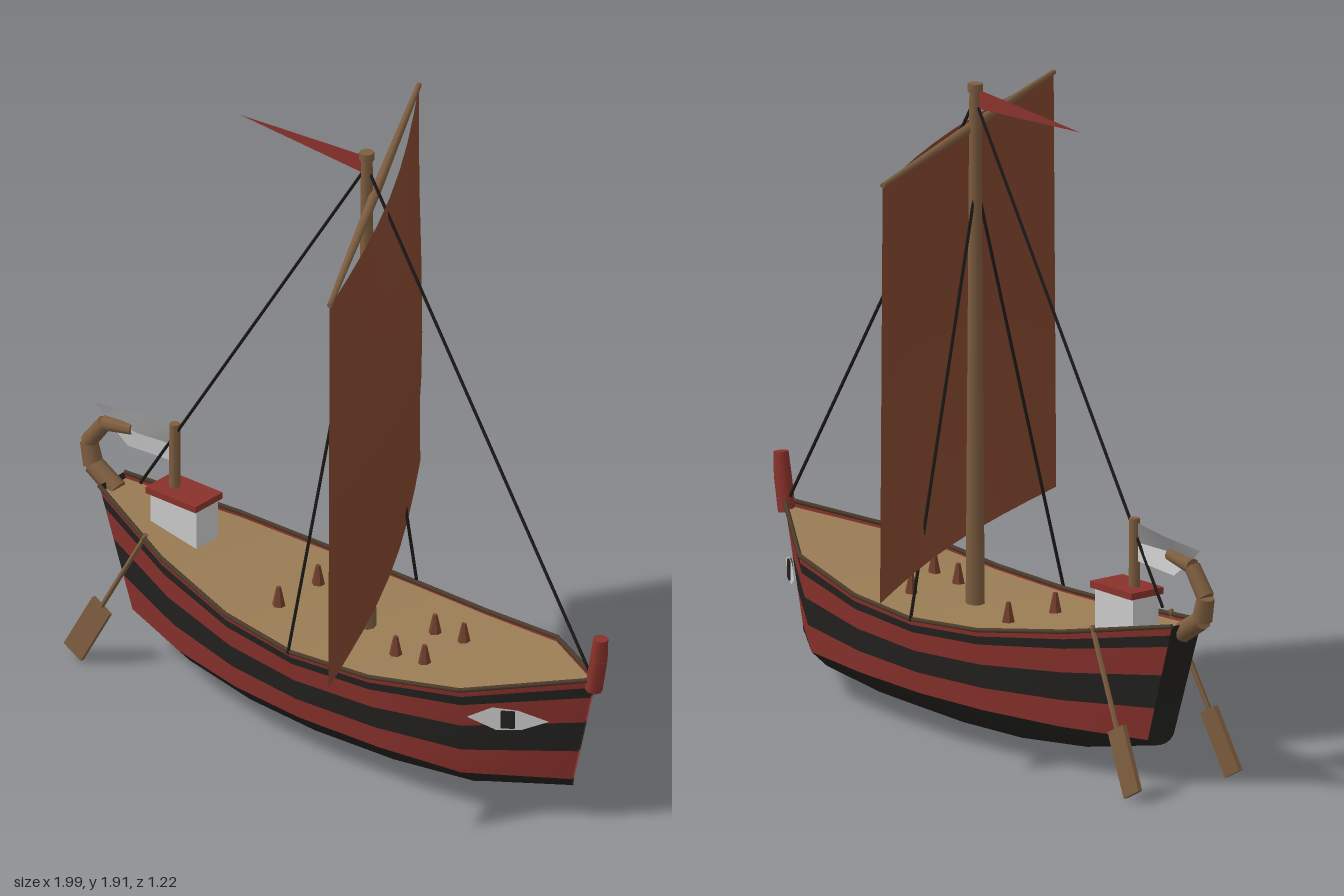
import * as THREE from 'three';

const RED = 0x8a322c, BLACK = 0x232220, WOOD = 0x7d5d3f, DECK = 0x9a7d55, ROPE = 0x1c1a18;
const SAIL = 0x84472f, WHITE = 0xcccccc, GREY = 0x8c8c8c, PEG = 0x74402c, RAIL = 0x4a3a2a;
const V = (x, y, z) => new THREE.Vector3(x, y, z);
const CZ = 0.01; // centre line of the boat

// Hull stations, stern to bow: x at rail, x at keel, half beam, rail height, chine height, keel height
const stations = [
  [-0.89, -0.77, 0.055, 0.505, 0.140, 0.118],
  [-0.55, -0.50, 0.180, 0.440, 0.143, 0.060],
  [-0.24, -0.23, 0.253, 0.393, 0.146, 0.033],
  [0.03, 0.03, 0.280, 0.375, 0.147, 0.027],
  [0.31, 0.32, 0.264, 0.386, 0.146, 0.033],
  [0.62, 0.60, 0.214, 0.430, 0.143, 0.060],
  [0.95, 0.865, 0.004, 0.495, 0.140, 0.118],
];

// Point on the hull: t = -1 keel, 0 chine, 1 rail
function hullPoint([xt, xb, w, top, chine, keel], t, side) {
  if (t < 0) {
    const k = 1 + t;
    return V(xb, keel + (chine - keel) * Math.pow(k, 2.6), CZ + side * w * 0.87 * k);
  }
  return V(xb + (xt - xb) * t, chine + (top - chine) * t, CZ + side * w * (0.87 + 0.13 * t));
}

// Surface through rows of points
function grid(rows) {
  const n = rows[0].length, index = [];
  for (let r = 0; r < rows.length - 1; r++)
    for (let i = 0; i < n - 1; i++) {
      const a = r * n + i, d = a + n;
      index.push(a, a + 1, d + 1, a, d + 1, d);
    }
  const g = new THREE.BufferGeometry().setFromPoints(rows.flat());
  g.setIndex(index);
  g.computeVertexNormals();
  return g;
}

export function createModel() {
  const model = new THREE.Group();

  function add(name, geometry, color, options = {}) {
    const mesh = new THREE.Mesh(geometry, new THREE.MeshStandardMaterial({ color, ...options }));
    mesh.name = name;
    model.add(mesh);
    return mesh;
  }
  const both = { side: THREE.DoubleSide };

  // Tapered round bar from a to b
  function bar(name, a, b, ra, rb, color, sides = 8) {
    const dir = b.clone().sub(a);
    const m = add(name, new THREE.CylinderGeometry(rb, ra, dir.length(), sides), color, { flatShading: sides < 8 });
    m.position.copy(a).lerp(b, 0.5);
    m.quaternion.setFromUnitVectors(V(0, 1, 0), dir.normalize());
    return m;
  }
  function chain(name, points, radii, color) {
    for (let i = 0; i < points.length - 1; i++)
      bar(name, points[i], points[i + 1], radii[i], radii[i + 1], color);
  }

  // Painted hull bands on both sides
  const bands = [
    ['hullBottom', [-1, -0.65, -0.3, 0], BLACK],
    ['lowerRedBand', [0, 0.28], RED],
    ['blackBand', [0.28, 0.57], BLACK],
    ['upperRedBand', [0.57, 0.82], RED],
    ['blackStripe', [0.82, 0.92], BLACK],
    ['topRedBand', [0.92, 1], RED],
  ];
  for (const [name, ts, color] of bands)
    for (const side of [1, -1]) {
      const rows = ts.map(t => stations.map(s => hullPoint(s, t, side)));
      if (side < 0) rows.reverse();
      add(name, grid(rows), color, both);
    }

  // Transom, deck and rails
  const ends = [-1, -0.65, -0.3, 0, 0.5, 1];
  add('transom', grid([1, -1].map(s => ends.map(t => hullPoint(stations[0], t, s)))), BLACK, both);
  add('deck', grid([1, -1].map(s => stations.map(st => hullPoint(st, 0.95, s)))), DECK, both);
  for (const side of [1, -1])
    chain('rail', stations.map(s => hullPoint(s, 1, side)), stations.map(() => 0.007), RAIL);

  // Bow post and curled stern post
  chain('bowPost', [V(0.943, 0.46, CZ), V(0.962, 0.565, CZ), V(0.97, 0.635, CZ)], [0.026, 0.026, 0.022], RED);
  chain('sternCurl', [V(-0.87, 0.475, CZ), V(-0.96, 0.53, CZ), V(-0.977, 0.60, CZ), V(-0.915, 0.68, CZ), V(-0.81, 0.695, CZ)],
    [0.032, 0.03, 0.026, 0.024, 0.017], WOOD);

  // Deckhouse, roof, flag post and flag
  add('deckhouse', new THREE.BoxGeometry(0.175, 0.14, 0.095), WHITE).position.set(-0.615, 0.48, CZ);
  add('deckhouseRoof', new THREE.BoxGeometry(0.19, 0.02, 0.12), RED).position.set(-0.615, 0.556, CZ);
  bar('flagPost', V(-0.65, 0.5, CZ), V(-0.65, 0.77, CZ), 0.017, 0.016, WOOD);
  const flagRows = [
    [V(-0.65, 0.76, CZ), V(-0.80, 0.748, CZ - 0.012), V(-0.95, 0.733, CZ)],
    [V(-0.65, 0.70, CZ), V(-0.78, 0.697, CZ + 0.012), V(-0.91, 0.695, CZ)],
    [V(-0.65, 0.645, CZ), V(-0.74, 0.64, CZ), V(-0.83, 0.635, CZ)],
  ];
  add('flagUpperStripe', grid(flagRows.slice(0, 2)), GREY, both);
  add('flagLowerStripe', grid(flagRows.slice(1)), WHITE, both);

  // Mast, masthead and pennant
  bar('mast', V(0.08, 0.33, CZ), V(0.08, 1.9, CZ), 0.028, 0.017, WOOD);
  bar('mastCap', V(0.08, 1.89, CZ), V(0.08, 1.915, CZ), 0.022, 0.022, WOOD);
  const pennant = new THREE.Shape([[0.07, 1.9], [-0.4, 1.868], [0.07, 1.842]].map(p => new THREE.Vector2(...p)));
  add('pennant', new THREE.ShapeGeometry(pennant), RED, both).position.z = CZ;

  // Yard and billowing square sail, set across the boat at an angle
  const yardCentre = V(0.1, 1.777, 0), along = V(0.34, 0, 0.592), out = V(0.867, 0, -0.498);
  const yardEnd = s => yardCentre.clone().addScaledVector(along, s);
  for (const s of [1, -1]) bar('yard', yardCentre, yardEnd(s), 0.015, 0.008, WOOD);
  const sailRows = [];
  for (let j = 0; j <= 8; j++) {
    const v = j / 8, row = [];
    for (let i = 0; i <= 8; i++) {
      const u = i / 4 - 1;
      const belly = Math.cos(u * Math.PI / 2) * (0.045 + 0.06 * Math.sin(v * Math.PI));
      const p = yardEnd(u * (1 + 0.03 * v)).addScaledVector(out, belly);
      p.y = 1.772 - 1.237 * v;
      row.push(p);
    }
    sailRows.push(row);
  }
  add('sail', grid(sailRows), SAIL, both);

  // Standing rigging
  bar('forestay', V(0.085, 1.86, CZ), V(0.94, 0.49, CZ), 0.005, 0.005, ROPE, 5);
  bar('backstay', V(0.075, 1.86, CZ), V(-0.78, 0.53, CZ), 0.005, 0.005, ROPE, 5);
  for (const s of [1, -1])
    bar('shroud', V(0.075, 1.62, CZ), V(0.025, 0.37, CZ + s * 0.285), 0.005, 0.005, ROPE, 5);

  // Steering oars
  for (const s of [1, -1]) {
    const top = V(-0.635, 0.47, CZ + s * 0.145), tip = V(-0.875, 0.02, CZ + s * 0.187);
    bar('oarShaft', top, tip.clone().lerp(top, 0.2), 0.008, 0.008, WOOD, 6);
    const blade = add('oarBlade', new THREE.BoxGeometry(0.075, 0.2, 0.014), WOOD);
    blade.position.copy(tip).lerp(top, 0.2);
    blade.quaternion.setFromUnitVectors(V(0, 1, 0), top.clone().sub(tip).normalize());
  }

  // Deck pegs
  for (const [x, y] of [[-0.18, 0.37], [0.265, 0.365], [0.375, 0.375]])
    for (const s of [1, -1])
      bar('deckPeg', V(x, y, CZ + s * 0.087), V(x, y + 0.066, CZ + s * 0.087), 0.021, 0.007, PEG, 6);

  // Painted eyes at the bow
  const eye = new THREE.Shape([[-0.12, 0], [-0.045, 0.036], [0.03, 0.03], [0.12, 0], [0.04, -0.032], [-0.035, -0.037]]
    .map(p => new THREE.Vector2(...p)));
  for (const s of [1, -1]) {
    const group = new THREE.Group();
    group.name = 'bowEye';
    const white = add('eyeWhite', new THREE.ShapeGeometry(eye), WHITE, both);
    const pupil = add('eyePupil', new THREE.BoxGeometry(0.04, 0.055, 0.012), BLACK);
    group.add(white, pupil);
    group.position.set(0.745, 0.353, CZ + s * 0.149);
    group.rotation.y = s * 0.577;
    model.add(group);
  }

  return model;
}
